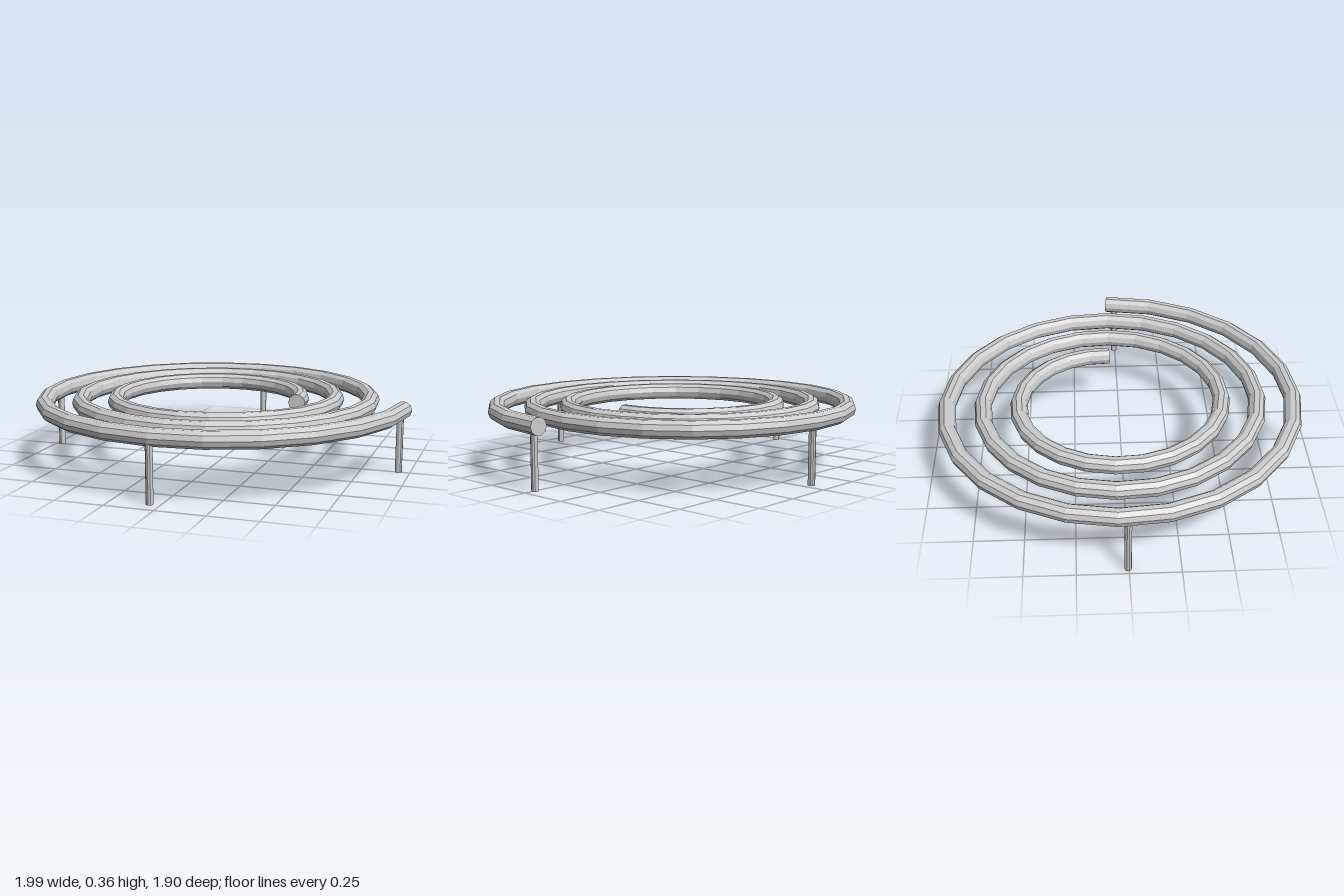
import * as THREE from 'three';

const CENTRE = -0.05;          // spiral axis, same offset in x and z
const TUBE_Y = 0.316, TUBE_R = 0.045, SIDES = 10;
const TURNS = 3, STEPS = 24 * TURNS;

// Point i along a flat spiral with equal angle steps
function spiralPoint(i) {
  const t = i / STEPS, a = t * TURNS * Math.PI * 2;
  const r = 0.437 + 0.562 * t;
  return new THREE.Vector3(CENTRE + r * Math.cos(a), TUBE_Y, CENTRE - r * Math.sin(a));
}

// Faceted tube swept along the spiral, closed by flat ends
function spiralGeometry() {
  const up = new THREE.Vector3(0, 1, 0);
  const pos = [], idx = [];
  for (let i = 0; i <= STEPS; i++) {
    const p = spiralPoint(i);
    const tangent = spiralPoint(Math.min(i + 1, STEPS)).sub(spiralPoint(Math.max(i - 1, 0))).normalize();
    const out = tangent.cross(up);
    for (let j = 0; j < SIDES; j++) {
      const a = (j / SIDES) * Math.PI * 2;
      const v = p.clone().addScaledVector(out, TUBE_R * Math.cos(a)).addScaledVector(up, TUBE_R * Math.sin(a));
      pos.push(v.x, v.y, v.z);
      if (i < STEPS) {
        const k = (j + 1) % SIDES;
        const A = i * SIDES + j, B = i * SIDES + k, C = A + SIDES, D = B + SIDES;
        idx.push(A, C, B, B, C, D);
      }
    }
  }
  const last = STEPS * SIDES;
  for (let j = 1; j < SIDES - 1; j++) {
    idx.push(0, j, j + 1);
    idx.push(last, last + j + 1, last + j);
  }
  const g = new THREE.BufferGeometry();
  g.setAttribute('position', new THREE.Float32BufferAttribute(pos, 3));
  g.setIndex(idx);
  const flat = g.toNonIndexed();
  flat.computeVertexNormals();
  return flat;
}

export function createModel() {
  const group = new THREE.Group();
  group.name = 'spiralStand';
  const material = new THREE.MeshStandardMaterial({ color: 0xcccccc, flatShading: true });

  // Coil
  const coil = new THREE.Mesh(spiralGeometry(), material);
  coil.name = 'spiralCoil';
  group.add(coil);

  // Four thin legs under the outermost turn
  const legHeight = 0.29;
  const legGeometry = new THREE.CylinderGeometry(0.018, 0.018, legHeight, 10);
  const legs = {
    leftLeg: [0.941, -0.005],
    rightLeg: [-0.965, -0.005],
    frontLeg: [-0.053, 0.918],
    backLeg: [-0.043, -0.9],
  };
  for (const [name, [x, z]] of Object.entries(legs)) {
    const leg = new THREE.Mesh(legGeometry, material);
    leg.name = name;
    leg.position.set(x, legHeight / 2, z);
    group.add(leg);
  }
  return group;
}
